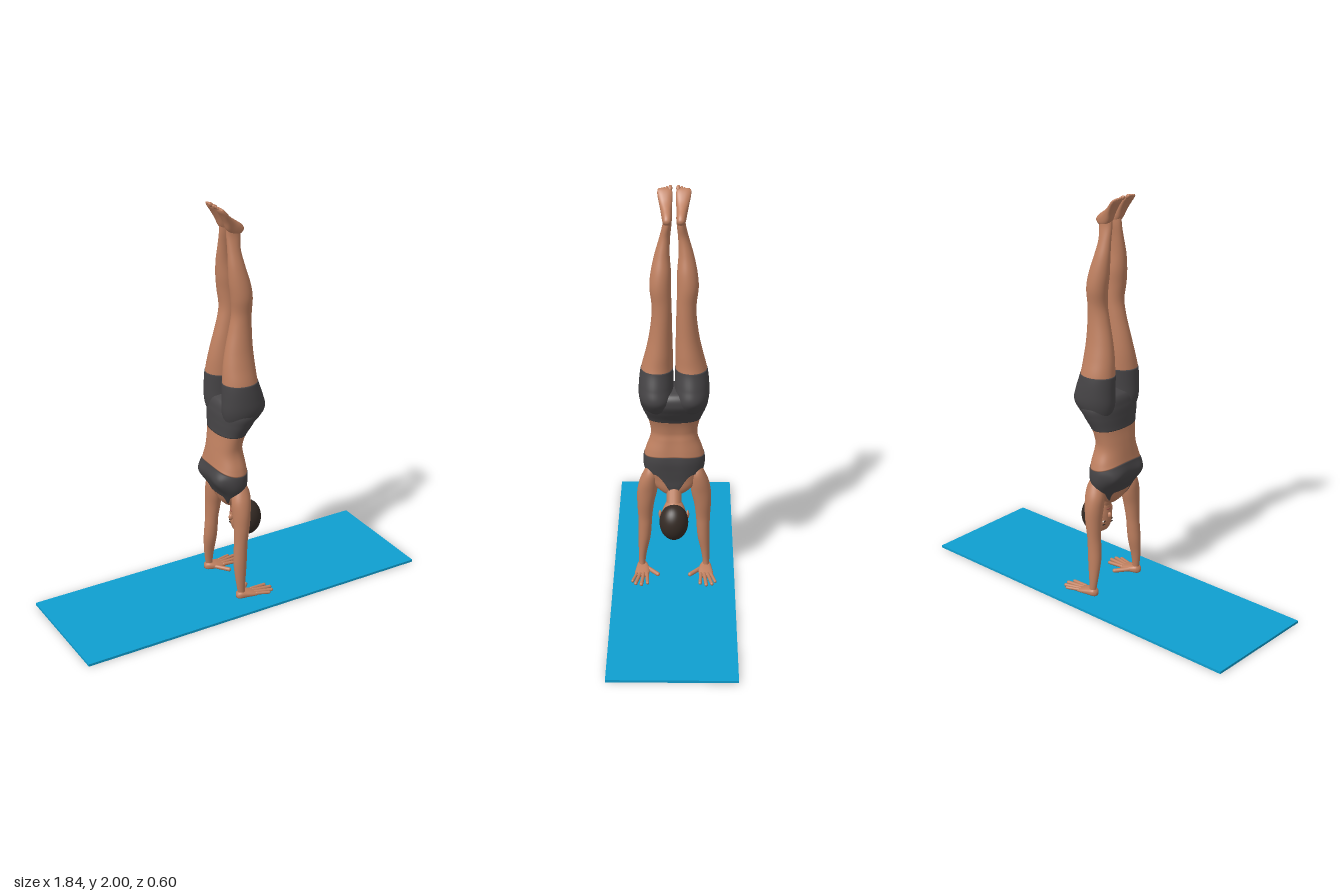
import * as THREE from 'three';
import { mergeVertices } from 'three/addons/utils/BufferGeometryUtils.js';

const paint = (name, color) => {
  const m = new THREE.MeshStandardMaterial({ color });
  m.name = name;
  return m;
};

// Smooth interpolation through section rows [y, xMin, xMax, zMin, zMax].
function section(keys, y) {
  const last = keys.length - 1;
  let i = 0;
  while (i < last - 1 && y > keys[i + 1][0]) i++;
  const h = keys[i + 1][0] - keys[i][0];
  const t = THREE.MathUtils.clamp((y - keys[i][0]) / h, 0, 1);
  const slope = (k, c) => {
    const a = keys[Math.max(k - 1, 0)], b = keys[Math.min(k + 1, last)];
    return (b[c] - a[c]) / (b[0] - a[0]);
  };
  return [1, 2, 3, 4].map((c) => {
    const p = keys[i][c], q = keys[i + 1][c], t2 = t * t, t3 = t2 * t;
    return p * (2 * t3 - 3 * t2 + 1) + q * (3 * t2 - 2 * t3)
      + h * (slope(i, c) * (t3 - 2 * t2 + t) + slope(i + 1, c) * (t3 - t2));
  });
}

// Skin over the sections between two heights, which may vary with the angle.
function loft(keys, low, high, { side = 1, rows = 40, cols = 40, power = 2, inflate = 0, shape } = {}) {
  const at = (f, a) => (typeof f === 'function' ? f(a) : f);
  const pos = [], index = [];
  const bend = (v) => Math.sign(v) * Math.abs(v) ** (2 / power);
  for (let r = 0; r <= rows; r++) {
    for (let k = 0; k < cols; k++) {
      const a = (k / cols) * Math.PI * 2;
      const lo = at(low, a), y = lo + (at(high, a) - lo) * (r / rows);
      const [x0, x1, z0, z1] = section(keys, y);
      let x = (x0 + x1) / 2 + ((x1 - x0) / 2 + inflate) * bend(Math.cos(a));
      const z = (side * (z0 + z1)) / 2 + ((z1 - z0) / 2 + inflate) * bend(Math.sin(a));
      if (shape) x += shape(a, y);
      pos.push(x, y, z);
      if (r < rows) {
        const p = r * cols + k, q = r * cols + ((k + 1) % cols);
        index.push(p, p + cols, q, q, p + cols, q + cols);
      }
    }
  }
  // Close both ends
  for (const row of [0, rows]) {
    const mid = new THREE.Vector3();
    for (let k = 0; k < cols; k++) mid.add(new THREE.Vector3().fromArray(pos, (row * cols + k) * 3));
    const n = pos.push(...mid.divideScalar(cols).toArray()) / 3 - 1;
    for (let k = 0; k < cols; k++) {
      const p = row * cols + k, q = row * cols + ((k + 1) % cols);
      if (row) index.push(p, n, q); else index.push(p, q, n);
    }
  }
  let g = new THREE.BufferGeometry();
  g.setAttribute('position', new THREE.Float32BufferAttribute(pos, 3));
  g.setIndex(index);
  g = mergeVertices(g, 1e-6);
  g.computeVertexNormals();
  return g;
}

const symmetric = (rows) => rows.map(([y, x0, x1, z]) => [y, x0, x1, -z, z]);
const bump = (v, w) => Math.exp(-((v / w) ** 2));

const TORSO = symmetric([
  [0.46, -0.02, 0.035, 0.03], [0.48, -0.04, 0.046, 0.065], [0.51, -0.058, 0.052, 0.098],
  [0.55, -0.076, 0.053, 0.122], [0.6, -0.1, 0.058, 0.143], [0.65, -0.115, 0.063, 0.147],
  [0.7, -0.108, 0.059, 0.136], [0.76, -0.1, 0.05, 0.115], [0.8, -0.094, 0.045, 0.112],
  [0.87, -0.083, 0.06, 0.126], [0.93, -0.08, 0.095, 0.148], [0.98, -0.076, 0.118, 0.158],
  [1.03, -0.06, 0.1, 0.13], [1.05, -0.02, 0.04, 0.05]]);
const LEG = [
  [0.92, -0.05, 0.075, 0.025, 0.125], [0.95, -0.066, 0.108, 0.01, 0.146], [1.0, -0.076, 0.138, 0.003, 0.163],
  [1.06, -0.076, 0.125, 0.005, 0.164], [1.14, -0.073, 0.1, 0.006, 0.155], [1.22, -0.065, 0.092, 0.006, 0.135],
  [1.3, -0.05, 0.086, 0.008, 0.118], [1.4, -0.026, 0.083, 0.01, 0.105], [1.47, -0.014, 0.082, 0.012, 0.104],
  [1.55, -0.021, 0.083, 0.014, 0.113], [1.62, -0.029, 0.073, 0.014, 0.107], [1.7, -0.032, 0.05, 0.02, 0.09],
  [1.78, -0.03, 0.035, 0.018, 0.067], [1.84, -0.03, 0.042, 0.012, 0.053], [1.88, -0.03, 0.04, 0.012, 0.05]];
const ARM = [
  [0.02, -0.035, 0, 0.145, 0.175], [0.06, -0.042, -0.003, 0.143, 0.176], [0.12, -0.05, 0.003, 0.134, 0.177],
  [0.2, -0.055, 0.012, 0.117, 0.177], [0.27, -0.051, 0.016, 0.111, 0.176], [0.32, -0.047, 0.018, 0.108, 0.177],
  [0.4, -0.047, 0.03, 0.098, 0.181], [0.47, -0.05, 0.038, 0.083, 0.18], [0.53, -0.05, 0.045, 0.078, 0.168],
  [0.58, -0.035, 0.042, 0.08, 0.148], [0.62, -0.01, 0.02, 0.1, 0.13]];
const FOOT = [
  [0, -0.03, -0.012, 0.022, 0.04], [0.008, -0.045, -0.004, 0.014, 0.049], [0.03, -0.064, 0, 0.01, 0.054],
  [0.07, -0.064, -0.004, 0.01, 0.06], [0.11, -0.044, -0.006, 0.009, 0.068], [0.15, -0.028, -0.001, 0.008, 0.076],
  [0.172, -0.021, -0.001, 0.01, 0.076], [0.182, -0.014, -0.004, 0.018, 0.07]];
const PALM = [
  [-0.047, -0.034, -0.016, 0.15, 0.17], [-0.037, -0.048, -0.01, 0.138, 0.181], [0, -0.044, -0.01, 0.124, 0.189],
  [0.04, -0.034, -0.01, 0.123, 0.195], [0.065, -0.026, -0.012, 0.128, 0.193]];
const HEAD = symmetric([
  [0.268, 0.08, 0.1, 0.01], [0.285, 0.042, 0.135, 0.044], [0.33, 0.019, 0.16, 0.063], [0.37, 0.015, 0.155, 0.063],
  [0.41, 0.016, 0.13, 0.053], [0.44, 0.018, 0.1, 0.035], [0.453, 0.034, 0.08, 0.016]]);

export function createModel() {
  const skin = paint('skin', 0xbf8060), cloth = paint('charcoal cloth', 0x464446);
  const hairColor = paint('dark brown hair', 0x352b25), blue = paint('blue mat', 0x0f9fd0);
  const white = paint('eye white', 0xe8e2da), brown = paint('iris brown', 0x3a2418), rose = paint('lip rose', 0xa35a4c);
  const model = new THREE.Group();
  const add = (name, geometry, material, parent = model) => {
    const m = new THREE.Mesh(geometry, material);
    m.name = name;
    parent.add(m);
    return m;
  };
  const blob = (name, mat, p, r, parent) => {
    const m = add(name, new THREE.SphereGeometry(1, 20, 14), mat, parent);
    m.position.set(...p);
    m.scale.set(...r);
    return m;
  };
  const rod = (name, mat, from, to, r) => {
    const a = new THREE.Vector3(...from), b = new THREE.Vector3(...to);
    const m = add(name, new THREE.CapsuleGeometry(r, a.distanceTo(b), 6, 14), mat);
    m.position.copy(a).lerp(b, 0.5);
    m.quaternion.setFromUnitVectors(new THREE.Vector3(0, 1, 0), b.sub(a).normalize());
  };

  // Mat
  add('exerciseMat', new THREE.BoxGeometry(1.835, 0.012, 0.6), blue).position.y = 0.006;

  // Torso in bands: chest, top, midriff, shorts
  const wrap = (a) => (a > Math.PI ? a - Math.PI * 2 : a);
  const fromFront = (a) => Math.abs(a - Math.PI);
  const neckline = (a) => Math.max(0.475, 0.565 + 0.025 * Math.cos(a)
    - 0.13 * bump(wrap(a), 0.36) - 0.06 * bump(fromFront(a) - 0.75, 0.16));
  const hem = (a) => 0.67 + 0.02 * Math.cos(a) ** 2 - 0.01 * Math.cos(a);
  const shape = (a, y) => -0.017 * bump(fromFront(a) - 0.6, 0.4) * bump(y - 0.63, 0.045)
    - 0.006 * bump(wrap(a), 0.25) * bump(y - 0.72, 0.12);
  const body = { power: 2.3, cols: 72, shape };
  add('chest', loft(TORSO, 0.46, neckline, body), skin);
  add('cropTop', loft(TORSO, neckline, hem, { ...body, inflate: 0.002 }), cloth);
  add('midriff', loft(TORSO, hem, 0.87, body), skin);
  add('shortsWaist', loft(TORSO, 0.868, 1.05, { ...body, inflate: 0.002 }), cloth);

  // Neck, head and hair
  rod('neck', skin, [0.0, 0.53, 0], [0.065, 0.415, 0], 0.037);
  add('head', loft(HEAD, 0.268, 0.453), skin);
  const hair = add('hair', new THREE.SphereGeometry(1, 40, 24, 0, Math.PI * 2, 0, Math.PI * 0.64).rotateZ(-Math.PI / 2 - 0.12), hairColor);
  hair.scale.set(0.073, 0.092, 0.07);
  hair.position.set(0.102, 0.353, 0);
  hair.material.side = THREE.DoubleSide;
  blob('nose', skin, [0.014, 0.375, 0], [0.013, 0.016, 0.01]);
  blob('lips', rose, [0.02, 0.408, 0], [0.006, 0.006, 0.018]);

  for (const s of [1, -1]) {
    const label = s > 0 ? 'left' : 'right';
    blob(label + 'Ear', skin, [0.068, 0.377, s * 0.067], [0.014, 0.022, 0.008]);
    blob(label + 'Eye', white, [0.025, 0.346, s * 0.026], [0.005, 0.006, 0.011]);
    blob(label + 'Iris', brown, [0.021, 0.346, s * 0.026], [0.002, 0.005, 0.005]);
    blob(label + 'Eyebrow', hairColor, [0.026, 0.328, s * 0.027], [0.004, 0.003, 0.014]);

    // Arm and hand
    add(label + 'Arm', loft(ARM, 0.02, 0.62, { side: s }), skin);
    add(label + 'Palm', loft(PALM, -0.047, 0.065, { side: s, rows: 16, power: 2.4 }), skin).rotation.z = -Math.PI / 2;
    [[0.185, 0.112, 0.204, 0.0075], [0.168, 0.135, 0.188, 0.0085], [0.151, 0.142, 0.16, 0.009], [0.134, 0.128, 0.13, 0.0085]]
      .forEach(([z, x, tip, r]) => rod(label + 'Finger', skin, [0.05, 0.024, s * z], [x, 0.02, s * tip], r));
    rod(label + 'Thumb', skin, [-0.005, 0.027, s * 0.137], [0.05, 0.021, s * 0.08], 0.0105);

    // Leg
    add(label + 'ShortsLeg', loft(LEG, 0.92, 1.14, { side: s, inflate: 0.002 }), cloth);
    add(label + 'Leg', loft(LEG, 1.13, 1.88, { side: s, rows: 60 }), skin);

    // Foot, tilted so the sole faces up and back
    const foot = new THREE.Group();
    foot.name = label + 'Foot';
    foot.position.set(0.066, 1.872, 0);
    foot.rotation.z = 0.87;
    model.add(foot);
    add(label + 'FootBody', loft(FOOT, 0, 0.182, { side: s, rows: 30, power: 2.3 }), skin, foot);
    for (let i = 0; i < 5; i++) {
      const r = i ? 0.0068 - i * 0.0003 : 0.0095;
      blob(label + 'Toe', skin, [-0.01, 0.184 - i * 0.004, s * (i ? 0.021 + i * 0.0125 : 0.018)], [r, 0.016 - i * 0.001, r], foot);
    }
  }
  return model;
}
